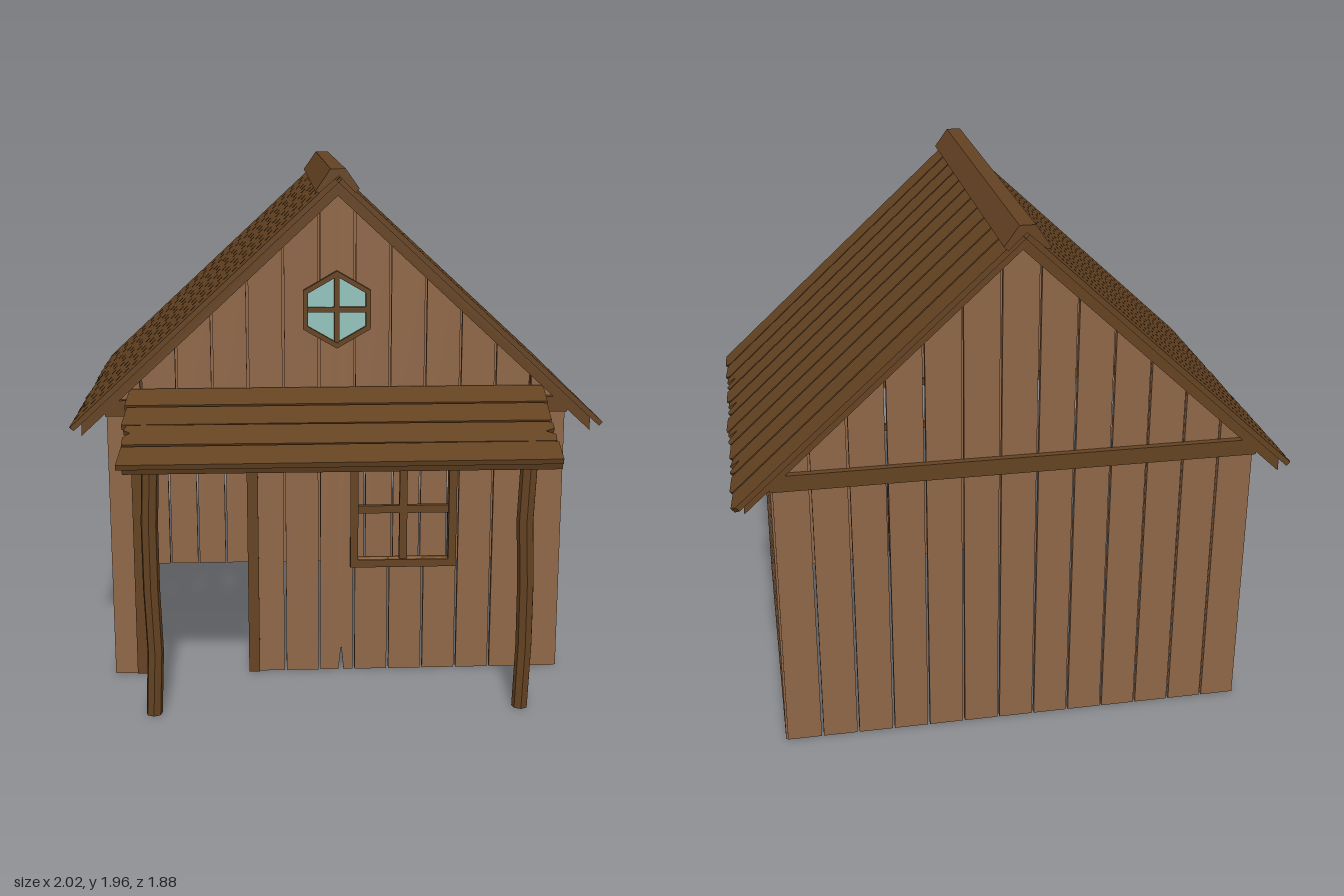
import * as THREE from 'three';

const mat = (name, color) => {
  const m = new THREE.MeshStandardMaterial({ color });
  m.name = name;
  return m;
};

export function createModel() {
  const wallWood = mat('wall wood', 0x8f6748);
  const darkWood = mat('dark wood', 0x654322);
  const glass = mat('window glass', 0x93c4bd);
  const model = new THREE.Group();
  model.name = 'woodenCabin';

  let seed = 7;
  const rand = () => (seed = (seed * 16807) % 2147483647) / 2147483647;
  const jitter = (a) => (rand() - 0.5) * 2 * a;

  const group = (name, parent = model) => {
    const g = new THREE.Group();
    g.name = name;
    parent.add(g);
    return g;
  };
  const add = (parent, name, geo, material) => {
    const m = new THREE.Mesh(geo, material);
    m.name = name;
    parent.add(m);
    return m;
  };
  // Box given by its limits on each axis
  const box = (parent, name, x0, x1, y0, y1, z0, z1, material = darkWood) => {
    const m = add(parent, name, new THREE.BoxGeometry(x1 - x0, y1 - y0, z1 - z0), material);
    m.position.set((x0 + x1) / 2, (y0 + y1) / 2, (z0 + z1) / 2);
    return m;
  };
  // Flat board cut from an outline in x and y
  const board = (parent, name, pts, depth, material) => {
    const shape = new THREE.Shape(pts.map(([x, y]) => new THREE.Vector2(x, y)));
    return add(parent, name, new THREE.ExtrudeGeometry(shape, { depth, bevelEnabled: false }), material);
  };

  // Walls: upright planks with narrow gaps, openings and splits at the foot
  const SLOPE = 0.925, EAVE = 1.905;
  const gableTop = (x) => EAVE - 0.005 - SLOPE * Math.abs(x);
  function plankWall(name, count, x0, x1, top, openings = [], cracks = []) {
    const wall = group(name);
    const pitch = (x1 - x0) / count;
    for (let i = 0; i < count; i++) {
      const a = x0 + i * pitch + 0.004, b = x0 + (i + 1) * pitch - 0.004;
      const cuts = [a, 0, b, ...openings.flatMap((o) => [o[0], o[1]])]
        .filter((x) => x >= a && x <= b).sort((p, q) => p - q);
      for (let k = 0; k + 1 < cuts.length; k++) {
        const l = cuts[k], r = cuts[k + 1], mid = (l + r) / 2;
        if (r - l < 0.001) continue;
        const hole = openings.find((o) => mid > o[0] && mid < o[1]);
        const crack = cracks.find((c) => c[0] > l + 0.012 && c[0] < r - 0.012);
        const low = hole ? hole[3] : 0;
        const pts = [[l, low]];
        if (crack && !hole) pts.push([crack[0] - 0.01, 0], [crack[0], crack[1]], [crack[0] + 0.01, 0]);
        pts.push([r, low], [r, top(r)], [l, top(l)]);
        board(wall, 'wallPlank', pts, 0.02, wallWood);
        if (hole && hole[2] > 0)
          board(wall, 'wallPlank', [[l, 0], [r, 0], [r, hole[2]], [l, hole[2]]], 0.02, wallWood);
      }
    }
    return wall;
  }
  const door = [-0.745, -0.34, 0, 0.845], win = [0.08, 0.43, 0.455, 0.855];
  plankWall('frontWall', 13, -0.87, 0.865, gableTop, [door, win], [[0.015, 0.1]]).position.z = 0.428;
  plankWall('backWall', 13, -0.87, 0.865, gableTop).position.z = -0.855;
  for (const s of [-1, 1]) {
    const side = plankWall('sideWall', 10, -0.65, 0.65, () => 1.085, [], [[s * 0.07, 0.2]]);
    side.rotation.y = s * Math.PI / 2;
    side.position.set(s * 0.848, 0, -0.203);
    box(model, 'topPlate', s * 0.85 - 0.015, s * 0.85 + 0.015, 1.03, 1.11, -0.83, 0.425);
  }

  // Gable trim: sloping rafters and a cross beam on both ends
  for (const z of [0.448, -0.88]) {
    const trim = group('gableTrim');
    for (const s of [-1, 1]) {
      const pts = [[0, EAVE - 0.05], [s * 0.96, EAVE - 0.05 - SLOPE * 0.96],
        [s * 0.96, EAVE - SLOPE * 0.96], [0, EAVE]];
      board(trim, 'rafter', pts, 0.025, darkWood).position.z = z;
    }
    box(trim, 'crossBeam', -0.87, 0.87, 1.04, 1.1, z, z + 0.025);
  }

  // Roof: two slopes of planks with chipped lower ends
  const roof = group('roof');
  roof.position.set(0, EAVE, -0.205);
  const pitch = 1.45 / 11, angle = Math.atan(SLOPE);
  for (const s of [-1, 1]) {
    const slope = group('roofSlope', roof);
    slope.rotation.y = s > 0 ? 0 : Math.PI;
    const notched = s > 0 ? [2, 4, 6, 8] : [0, 4, 8];
    for (let i = 0; i < 11; i++) {
      const v0 = -0.725 + i * pitch + 0.005, v1 = v0 + pitch - 0.01;
      const end = 1.35 + jitter(0.008), pts = [[0, v0], [end - rand() * 0.02, v0]];
      if (notched.includes(i)) {
        const v = (v0 + v1) / 2 + jitter(0.02);
        pts.push([end, v - 0.02], [end - 0.05, v], [end, v + 0.02]);
      }
      pts.push([end, v1 - 0.025], [end - rand() * 0.025, v1], [0, v1]);
      const plank = board(slope, 'roofPlank', pts, 0.02, darkWood);
      plank.rotation.set(-Math.PI / 2, 0, 0);
      plank.rotation.order = 'ZXY';
      plank.rotation.z = -angle;
    }
  }
  const cap = [[-0.085, 1.875], [-0.07, 1.87], [0, 1.93], [0.06, 1.87], [0.075, 1.885],
    [0.025, 1.955], [-0.03, 1.955]];
  board(model, 'ridgeCap', cap, 1.47, darkWood).position.z = -0.937;

  // Door frame
  const doorFrame = group('doorFrame');
  for (const x of [-0.782, -0.346]) box(doorFrame, 'doorJamb', x, x + 0.042, 0, 0.84, 0.415, 0.457);
  box(doorFrame, 'doorLintel', -0.782, -0.304, 0.84, 0.88, 0.415, 0.457);

  // Open front window with a cross of bars
  const frame = group('frontWindow');
  for (const x of [0.05, 0.43]) box(frame, 'windowSide', x, x + 0.03, 0.425, 0.885, 0.415, 0.46);
  for (const y of [0.425, 0.855]) box(frame, 'windowRail', 0.08, 0.43, y, y + 0.03, 0.415, 0.46);
  box(frame, 'uprightBar', 0.24, 0.27, 0.455, 0.855, 0.428, 0.45);
  box(frame, 'crossBar', 0.08, 0.43, 0.64, 0.67, 0.429, 0.449);

  // Six-sided attic window
  const attic = group('atticWindow');
  attic.position.set(-0.003, 1.435, 0.448);
  const hex = (r) => Array.from({ length: 6 }, (_, i) =>
    new THREE.Vector2(r * Math.sin(i * Math.PI / 3), r * Math.cos(i * Math.PI / 3)));
  const ring = new THREE.Shape(hex(0.145));
  ring.holes.push(new THREE.Path(hex(0.124).reverse()));
  add(attic, 'atticFrame', new THREE.ExtrudeGeometry(ring, { depth: 0.022, bevelEnabled: false }), darkWood);
  add(attic, 'atticGlass', new THREE.ExtrudeGeometry(new THREE.Shape(hex(0.126)),
    { depth: 0.006, bevelEnabled: false }), glass);
  box(attic, 'atticUpright', -0.01, 0.01, -0.124, 0.124, 0, 0.018);
  box(attic, 'atticCrossbar', -0.108, 0.108, -0.01, 0.01, 0, 0.017);

  // Porch roof: four rough planks on sloping rafters
  const porch = group('porch');
  const porchSlope = 0.34, tilt = Math.atan(porchSlope);
  const porchY = (z) => 0.965 + (0.93 - z) * porchSlope;
  for (let i = 0; i < 4; i++) {
    const z = 0.508 + i * 0.123, l = -0.785 + jitter(0.01), r = 0.775 + jitter(0.01);
    const pts = [[l, -0.061], [r - 0.005, -0.061]];
    if (i === 2) pts.push([r, -0.02], [r - 0.035, 0], [r, 0.02]);
    pts.push([r, 0.055], [r - 0.02, 0.061], [l + 0.01, 0.061]);
    if (i === 2) pts.push([l, 0.03], [l + 0.025, 0.01], [l, -0.015]);
    const plank = board(porch, 'porchPlank', pts, 0.02, darkWood);
    plank.rotation.set(-Math.PI / 2 + tilt + jitter(0.04), 0, jitter(0.004));
    plank.position.set(0, porchY(z) - 0.005, z);
  }
  for (const s of [-1, 1]) {
    const rafter = add(porch, 'porchRafter', new THREE.BoxGeometry(0.05, 0.035, 0.45), darkWood);
    rafter.rotation.x = tilt;
    rafter.position.set(s * 0.68, porchY(0.665) - 0.025, 0.665);
  }
  const beam = add(porch, 'porchBeam', new THREE.BoxGeometry(1.54, 0.03, 0.08), darkWood);
  beam.rotation.x = tilt;
  beam.position.set(0, 0.957, 0.855);

  // Porch posts, slightly uneven along their height
  for (const x of [-0.685, 0.665]) {
    const geo = new THREE.CylinderGeometry(0.032, 0.03, 0.96, 7, 4).toNonIndexed();
    const p = geo.attributes.position;
    for (let i = 0; i < p.count; i++)
      p.setX(i, p.getX(i) + 0.006 * Math.sin(p.getY(i) * 9 + x * 4));
    geo.computeVertexNormals();
    add(porch, 'porchPost', geo, darkWood).position.set(x, 0.48, 0.81);
  }
  return model;
}
